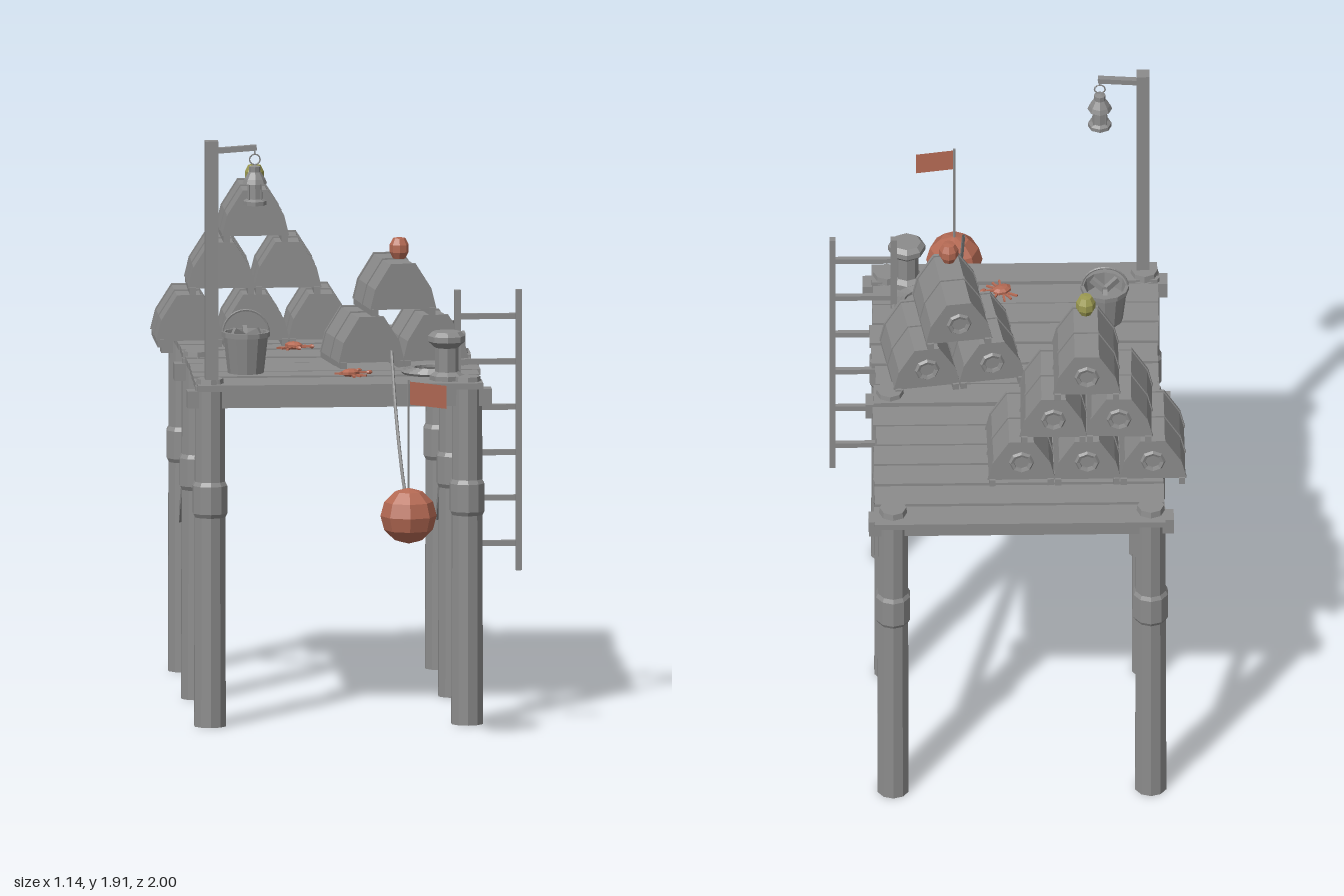
import * as THREE from 'three';

const mat = (name, color, side = THREE.FrontSide) => {
  const m = new THREE.MeshStandardMaterial({ color, flatShading: true, side });
  m.name = name;
  return m;
};

export function createModel() {
  const wood = mat('grey wood', 0x8c8c8c);
  const metal = mat('grey metal', 0x8a8a8a, THREE.DoubleSide);
  const red = mat('buoy red', 0xb56a54, THREE.DoubleSide);
  const yellow = mat('buoy yellow', 0x9c9a52);
  const model = new THREE.Group();
  model.name = 'fishingDock';

  let seed = 7;
  const rand = () => (seed = (seed * 16807) % 2147483647) / 2147483647;
  const V = (x, y, z) => new THREE.Vector3(x, y, z);

  const add = (parent, name, geo, material, x = 0, y = 0, z = 0) => {
    const m = new THREE.Mesh(geo, material);
    m.name = name;
    m.position.set(x, y, z);
    parent.add(m);
    return m;
  };
  const group = (name, x = 0, y = 0, z = 0, ry = 0, parent = model) => {
    const g = new THREE.Group();
    g.name = name;
    g.position.set(x, y, z);
    g.rotation.y = ry;
    parent.add(g);
    return g;
  };
  const box = (w, h, d) => new THREE.BoxGeometry(w, h, d);
  const cyl = (rt, rb, h, n = 8) => new THREE.CylinderGeometry(rt, rb, h, n);
  const lathe = (pts, n = 8) => new THREE.LatheGeometry(pts.map(p => new THREE.Vector2(...p)), n);
  const tube = (pts, r, seg = 16) =>
    new THREE.TubeGeometry(new THREE.CatmullRomCurve3(pts.map(p => V(...p))), seg, r, 6);

  // Posts with collars and caps, cross beams beneath the deck
  const postX = [-0.45, 0.382], postZ = [0.342, -0.295, -0.932];
  const postGeo = cyl(0.05, 0.053, 1.11, 10);
  const collarGeo = lathe([[0.05, -0.06], [0.058, -0.045], [0.058, 0.045], [0.05, 0.06]], 10);
  for (const z of postZ) {
    for (const x of postX) {
      add(model, 'post', postGeo, wood, x, 0.555, z);
      add(model, 'postCollar', collarGeo, wood, x, 0.74, z);
      add(model, 'postCap', cyl(0.043, 0.046, 0.024), wood, x, 1.121, z);
    }
    add(model, 'crossBeam', box(0.985, 0.055, 0.06), wood, -0.032, 1.067, z);
  }

  // Diagonal braces from the middle posts to the back posts
  for (const x of postX) {
    const a = V(x, 1.03, -0.32), b = V(x, 0.50, -0.90);
    const brace = add(model, 'brace', box(0.036, 0.036, a.distanceTo(b)), wood, x, 0.765, -0.61);
    brace.lookAt(a);
  }

  // Deck planks with slightly uneven ends
  for (let i = 0; i < 13; i++) {
    const l = -0.497 + rand() * 0.012, r = 0.425 + rand() * 0.02;
    add(model, 'plank', box(r - l, 0.02, 0.098), wood, (l + r) / 2, 1.1 + rand() * 0.008, -0.95 + i * 0.1085);
  }

  // Lamp post, arm and hanging lantern
  add(model, 'lampPost', box(0.042, 0.81, 0.042), wood, -0.446, 1.505, 0.357);
  add(model, 'lampArm', box(0.14, 0.018, 0.02), wood, -0.37, 1.882, 0.357).rotation.z = 0.07;
  const lantern = group('lantern', -0.306, 1.70, 0.357);
  add(lantern, 'lanternBase', lathe([[0, 0], [0.038, 0], [0.038, 0.013], [0.028, 0.02], [0, 0.02]]), metal);
  add(lantern, 'lanternGlass', cyl(0.022, 0.026, 0.06), metal, 0, 0.045, 0);
  add(lantern, 'lanternRoof', lathe([[0, 0.07], [0.04, 0.07], [0.034, 0.085], [0.019, 0.108], [0.019, 0.125], [0, 0.13]]), metal);
  add(lantern, 'lanternRing', new THREE.TorusGeometry(0.017, 0.0025, 5, 12), metal, 0, 0.148, 0);
  add(lantern, 'lanternHook', cyl(0.003, 0.003, 0.02, 5), metal, 0, 0.172, 0);
  for (let i = 0; i < 4; i++) {
    const a = Math.PI * (i / 2 + 0.25);
    add(lantern, 'lanternBar', cyl(0.003, 0.003, 0.06, 5), metal, 0.028 * Math.cos(a), 0.045, 0.028 * Math.sin(a));
  }

  // Arched fishing traps, made of an extruded section with hoops, runners and an entry ring
  const section = [[-0.108, 0], [-0.092, 0.065], [-0.04, 0.147], [0.04, 0.147], [0.092, 0.065], [0.108, 0]];
  const arch = (s, depth) => {
    const g = new THREE.ExtrudeGeometry(
      new THREE.Shape(section.map(([x, y]) => new THREE.Vector2(x * s, y * s)).reverse()),
      { depth, bevelEnabled: false });
    return g.translate(0, 0, -depth / 2);
  };
  const bodyGeo = arch(0.975, 0.28), hoopGeo = arch(1.01, 0.01);
  const ringGeo = new THREE.TorusGeometry(0.032, 0.009, 5, 8);
  const trap = (parent, x, row) => {
    const g = group('trap', x, 1.135 + row * 0.17, 0, (rand() - 0.5) * 0.04, parent);
    add(g, 'trapBody', bodyGeo, wood);
    for (const z of [-0.135, 0, 0.135]) add(g, 'trapHoop', hoopGeo, wood, 0, 0, z);
    for (const s of [-1, 1]) add(g, 'trapRunner', box(0.02, 0.024, 0.295), wood, s * 0.094, -0.008, 0);
    add(g, 'trapEntry', ringGeo, wood, 0, 0.07, -0.141);
  };
  const stack = (g, rows) => {
    for (let r = 0; r < rows; r++)
      for (let i = 0; i < rows - r; i++) trap(g, (i - (rows - r - 1) / 2) * 0.213, r);
  };
  stack(group('largeTrapStack', -0.246, 0, -0.65), 3);
  stack(group('smallTrapStack', 0.178, 0, -0.13, 0.155), 2);

  // Small floats above the stacks
  const floatGeo = lathe([[0, -0.035], [0.02, -0.033], [0.031, -0.012], [0.031, 0.012], [0.02, 0.033], [0, 0.035]]);
  add(model, 'yellowFloat', floatGeo, yellow, -0.246, 1.666, -0.562);
  add(model, 'redFloat', floatGeo, red, 0.188, 1.497, -0.045);

  // Marker buoy with pole, flag and mooring rope
  add(model, 'buoy', new THREE.SphereGeometry(0.091, 8, 6), red, 0.155, 0.76, 0.906);
  add(model, 'buoyPole', cyl(0.004, 0.004, 0.37, 6), metal, 0.155, 1.018, 0.906);
  const flag = new THREE.Shape([[0, 0.075], [0, 0], [0.118, -0.015], [0.118, 0.06]].map(p => new THREE.Vector2(...p)));
  add(model, 'buoyFlag', new THREE.ShapeGeometry(flag), red, 0.16, 1.122, 0.906);
  add(model, 'mooringRope', tube([[0.152, 0.80, 0.83], [0.147, 0.89, 0.67], [0.139, 1.055, 0.51], [0.133, 1.226, 0.405]], 0.0055), metal);

  // Ladder on the side of the deck
  for (const x of [0.362, 0.56]) add(model, 'ladderRail', box(0.02, 0.915, 0.02), wood, x, 0.933, 0.175);
  for (let i = 0; i < 6; i++) add(model, 'ladderRung', box(0.19, 0.018, 0.016), wood, 0.461, 0.564 + i * 0.148, 0.175);

  // Coiled rope
  for (let i = 0; i < 3; i++)
    add(model, 'ropeCoil', new THREE.TorusGeometry(0.06 + i * 0.014, 0.008, 5, 18), wood, 0.275, 1.135 - i * 0.004, 0.175).rotation.x = Math.PI / 2;

  // Mooring bollard
  add(model, 'bollard', lathe([[0, 0], [0.055, 0], [0.055, 0.02], [0.038, 0.032], [0.038, 0.11],
    [0.06, 0.13], [0.06, 0.148], [0.046, 0.162], [0, 0.162]]), wood, 0.318, 1.113, 0.312);

  // Bucket with bail handle and catch inside
  const bucket = group('bucket', -0.318, 1.113, 0.1);
  add(bucket, 'bucketShell', lathe([[0, 0], [0.058, 0], [0.072, 0.122], [0.079, 0.122], [0.079, 0.138],
    [0.068, 0.138], [0.062, 0.09], [0, 0.09]], 12), metal);
  add(bucket, 'bucketHandle', new THREE.TorusGeometry(0.074, 0.004, 5, 14, Math.PI), metal, 0, 0.133, 0);
  for (let i = 0; i < 3; i++) {
    const a = 0.5 + i * 2.1;
    const claw = add(bucket, 'bucketCatch', box(0.05, 0.02, 0.014), metal, 0.026 * Math.cos(a), 0.132, 0.026 * Math.sin(a));
    claw.rotation.set(0, -a, 0.5);
  }

  // Crabs on the deck
  const crab = (x, z, ry) => {
    const g = group('crab', x, 1.133, z, ry);
    add(g, 'crabShell', new THREE.SphereGeometry(0.03, 8, 5), red).scale.set(1.15, 0.45, 0.85);
    for (const s of [-1, 1]) {
      for (let i = -1; i <= 1; i++)
        add(g, 'crabLeg', box(0.007, 0.006, 0.034), red, i * 0.017, -0.006, s * 0.036).rotation.y = s * i * 0.5;
      add(g, 'crabArm', box(0.03, 0.006, 0.007), red, 0.04, 0, s * 0.019).rotation.y = -s * 0.5;
      add(g, 'crabClaw', new THREE.SphereGeometry(0.01, 6, 4), red, 0.055, 0, s * 0.028).scale.set(1.3, 0.7, 0.8);
    }
  };
  crab(-0.13, -0.395, -0.9);
  crab(0.012, 0.24, 0.6);

  return model;
}
